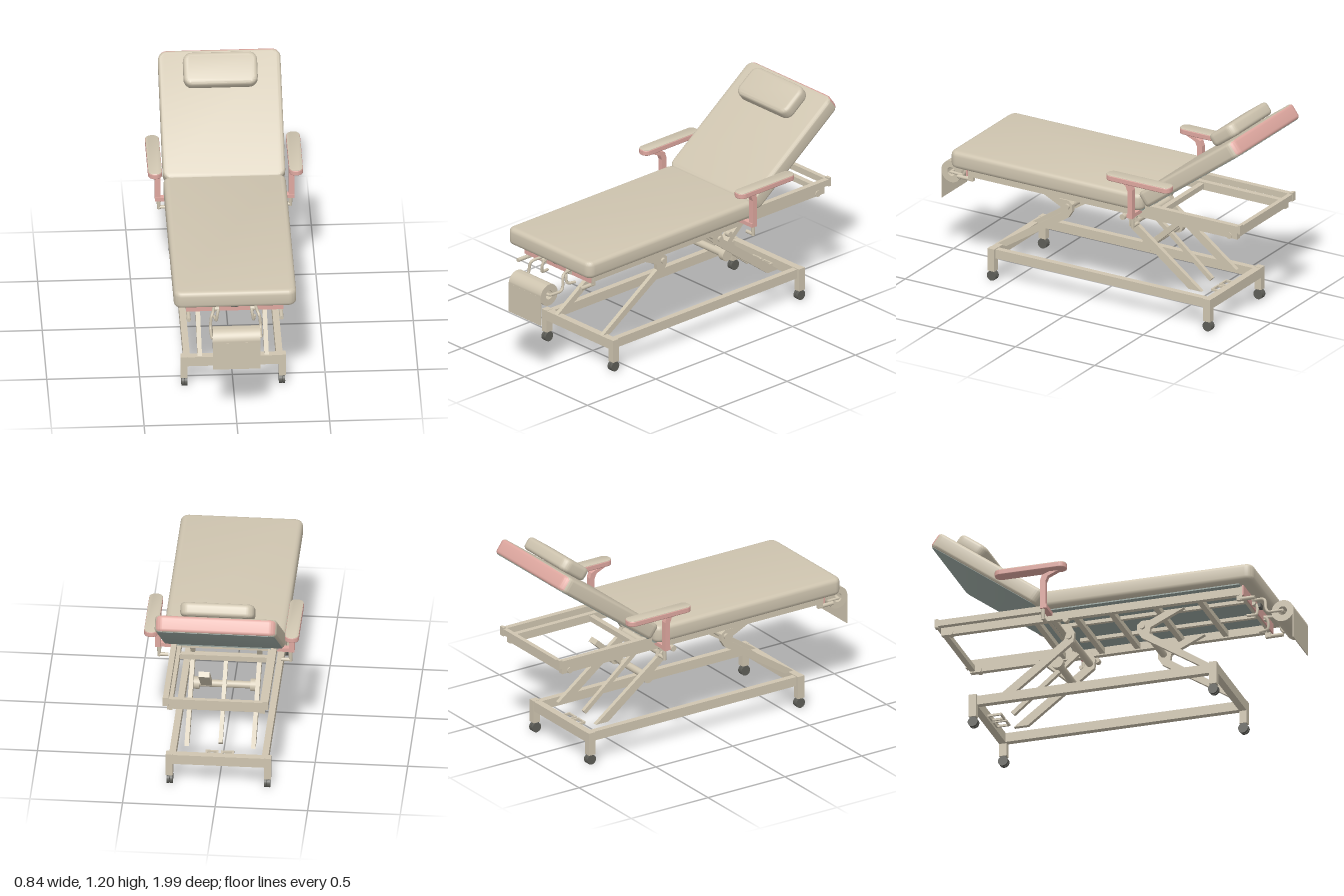
import * as THREE from 'three';
import { toCreasedNormals } from 'three/addons/utils/BufferGeometryUtils.js';

const material = (name, color, side = THREE.FrontSide) => {
  const m = new THREE.MeshStandardMaterial({ color, side });
  m.name = name;
  return m;
};

export function createModel() {
  const beige = material('beige', 0xcfc5b0, THREE.DoubleSide);
  const pink = material('pink', 0xdfa8a0);
  const underside = material('slate underside', 0x98a59f);
  const dark = material('dark rubber', 0x5e5e58);

  const model = new THREE.Group();
  model.name = 'treatmentCouch';

  const add = (name, geo, mat, pos = [0, 0, 0], parent = model) => {
    const m = new THREE.Mesh(geo, mat);
    m.name = name;
    m.position.set(...pos);
    parent.add(m);
    return m;
  };
  const box = (name, mat, size, pos) => add(name, new THREE.BoxGeometry(...size), mat, pos);
  const tube = (name, mat, pts, r) => add(name, new THREE.TubeGeometry(
    new THREE.CatmullRomCurve3(pts.map(p => new THREE.Vector3(...p)), false, 'catmullrom', 0.2), 20, r, 8), mat);
  // cylinder lying along x
  const rod = (name, mat, r, len, pos) => add(name, new THREE.CylinderGeometry(r, r, len, 20).rotateZ(Math.PI / 2), mat, pos);
  // box between two points of the side plane
  const beam = (name, mat, x, [z0, y0], [z1, y1], w, t) => {
    const m = box(name, mat, [w, t, Math.hypot(z1 - z0, y1 - y0)], [x, (y0 + y1) / 2, (z0 + z1) / 2]);
    m.rotation.x = -Math.atan2(y1 - y0, z1 - z0);
    return m;
  };
  // flat cushion with rounded plan corners and soft edges
  const pad = (w, l, h, r, b) => {
    const x = w / 2 - b, y = l / 2 - b, s = new THREE.Shape();
    [[x - r, y - r, 0], [r - x, y - r, 1], [r - x, r - y, 2], [x - r, r - y, 3]].forEach(([cx, cy, q]) =>
      s.absarc(cx, cy, r, q * Math.PI / 2, (q + 1) * Math.PI / 2, false));
    const g = new THREE.ExtrudeGeometry(s, {
      depth: h - 2 * b, bevelSize: b, bevelThickness: b, bevelSegments: 4, curveSegments: 8
    });
    return toCreasedNormals(g.center().rotateX(-Math.PI / 2), 0.6);
  };
  // regroup a pad so that faces turned to its -z end use the second material
  const splitEnd = geo => {
    const n = geo.attributes.normal, sides = [[], []];
    for (let i = 0; i < n.count; i += 3) {
      const nz = (n.getZ(i) + n.getZ(i + 1) + n.getZ(i + 2)) / 3;
      sides[nz < -0.57 ? 1 : 0].push(i, i + 1, i + 2);
    }
    geo.setIndex(sides.flat());
    geo.clearGroups();
    geo.addGroup(0, sides[0].length, 0);
    geo.addGroup(sides[0].length, sides[1].length, 1);
    return geo;
  };
  // side-plane outline (z, y) given thickness along x
  const plate = (name, mat, pts, x, w) => {
    const s = new THREE.Shape(pts.map(p => new THREE.Vector2(...p)));
    const g = new THREE.ExtrudeGeometry(s, { depth: w, bevelEnabled: false });
    return add(name, g.translate(0, 0, -w / 2).rotateY(-Math.PI / 2), mat, [x, 0, 0]);
  };

  // Seat cushion with its underside board
  add('seatCushion', pad(0.66, 1.21, 0.098, 0.02, 0.025), beige, [0, 0.675, 0.225]);
  box('seatBoard', underside, [0.58, 0.01, 1.11], [0, 0.624, 0.19]);

  // Tilted backrest with head pillow
  const back = new THREE.Group();
  back.name = 'backrest';
  back.position.set(0, 0.907, -0.675);
  back.rotation.x = 0.635;
  model.add(back);
  add('backCushion', splitEnd(pad(0.66, 0.747, 0.09, 0.03, 0.018)), [beige, pink], [0, 0, 0], back);
  add('backBoard', pad(0.635, 0.72, 0.008, 0.03, 0.002), underside, [0, -0.043, 0], back);
  const pillow = add('headPillow', pad(0.4, 0.19, 0.075, 0.025, 0.022), beige, [0, 1.118, -0.81]);
  pillow.rotation.x = 0.635;

  // Upper frame: long rails, cross members and rear extension
  for (const s of [-1, 1]) {
    box('frameRail', beige, [0.03, 0.045, 1.69], [s * 0.25, 0.592, -0.105]);
    box('rearUpperRail', beige, [0.03, 0.035, 0.6], [s * 0.27, 0.637, -0.68]);
    box('rearStop', beige, [0.03, 0.05, 0.018], [s * 0.27, 0.637, -0.972]);
    rod('rearKnob', beige, 0.018, 0.04, [s * 0.25, 0.583, -0.9]);
    box('seatSlat', beige, [0.02, 0.02, 1.0], [s * 0.1, 0.605, 0.22]);
  }
  for (const z of [0.5, 0.25, 0, -0.2, -0.42, -0.935])
    box('frameCrossBar', beige, [0.5, 0.03, 0.03], [0, 0.592, z]);
  box('rearUpperCrossBar', beige, [0.56, 0.035, 0.025], [0, 0.637, -0.967]);
  box('frontCrossBar', beige, [0.52, 0.05, 0.02], [0, 0.596, 0.742]);
  box('frontCrossBarFace', pink, [0.525, 0.058, 0.008], [0, 0.597, 0.756]);
  box('frontCatch', dark, [0.04, 0.025, 0.02], [0, 0.614, 0.768]);
  box('armCrossBar', beige, [0.5, 0.022, 0.03], [0, 0.609, -0.335]);

  // Armrests on curved posts, with clamp levers
  for (const s of [-1, 1]) {
    add('armrestBody', pad(0.076, 0.405, 0.032, 0.03, 0.006), pink, [s * 0.38, 0.826, -0.405]);
    add('armrestTop', pad(0.072, 0.4, 0.006, 0.03, 0.002), beige, [s * 0.38, 0.8405, -0.405]);
    plate('armrestPost', pink, [[-0.355, 0.598], [-0.325, 0.598], [-0.325, 0.755], [-0.312, 0.785],
      [-0.25, 0.812], [-0.3, 0.812], [-0.345, 0.795], [-0.355, 0.765]], s * 0.361, 0.03);
    box('armrestBracket', pink, [0.115, 0.022, 0.032], [s * 0.318, 0.609, -0.335]);
    add('clampStem', new THREE.CylinderGeometry(0.012, 0.009, 0.06, 12), beige, [s * 0.355, 0.568, -0.345]);
    rod('clampLever', beige, 0.01, 0.05, [s * 0.33, 0.548, -0.345]);
    rod('sideBolt', beige, 0.016, 0.03, [s * 0.275, 0.555, -0.24]);
  }

  // Folding lift links
  const frontLink = [[0.61, 0.18], [0.55, 0.18], [0.16, 0.43], [0.135, 0.47], [0.135, 0.51], [0.16, 0.53],
    [0.21, 0.53], [0.31, 0.575], [0.4, 0.575], [0.21, 0.485], [0.205, 0.45]];
  const rearLink = [[-0.6, 0.18], [-0.68, 0.18], [-0.28, 0.48], [-0.265, 0.52], [-0.3, 0.575],
    [-0.25, 0.575], [-0.22, 0.52], [-0.225, 0.465]];
  for (const s of [-1, 1]) {
    plate('frontLiftLink', beige, frontLink, s * 0.18, 0.024);
    plate('rearLiftLink', beige, rearLink, s * 0.18, 0.024);
    rod('linkPivot', beige, 0.016, 0.05, [s * 0.18, 0.495, 0.165]);
    rod('linkPivot', beige, 0.016, 0.05, [s * 0.18, 0.495, -0.25]);
    rod('leverHub', beige, 0.034, 0.035, [s * 0.155, 0.365, -0.325]);
  }
  rod('frontLiftTube', beige, 0.02, 0.36, [0, 0.49, 0.168]);
  rod('rearLiftTube', beige, 0.02, 0.36, [0, 0.495, -0.25]);
  rod('leverTube', beige, 0.02, 0.34, [0, 0.365, -0.325]);
  beam('liftLever', beige, 0.1, [-0.32, 0.36], [-0.5, 0.525], 0.06, 0.03);
  beam('liftActuator', beige, 0, [-0.63, 0.175], [-0.26, 0.48], 0.022, 0.025);

  // Wheeled base
  for (const s of [-1, 1]) {
    box('baseRail', beige, [0.035, 0.052, 1.37], [s * 0.25, 0.156, -0.09]);
    for (const z of [0.592, -0.768]) {
      box('baseLeg', beige, [0.038, 0.13, 0.042], [s * 0.265, 0.122, z]);
      box('casterFork', dark, [0.026, 0.03, 0.03], [s * 0.263, 0.045, z]);
      for (const d of [-0.009, 0.009])
        rod('casterWheel', dark, 0.028, 0.015, [s * 0.263 + d, 0.028, z]);
    }
  }
  for (const z of [0.592, -0.768])
    box('baseCrossBar', beige, [0.56, 0.056, 0.04], [0, 0.157, z]);

  // Foot pedal loops beside the rear cross bar
  for (const s of [-1, 1]) {
    for (const e of [-1, 1])
      box('pedalSide', beige, [0.01, 0.012, 0.08], [s * 0.042 + e * 0.03, 0.15, -0.71]);
    for (const z of [-0.745, -0.675])
      box('pedalEnd', beige, [0.07, 0.012, 0.01], [s * 0.042, 0.15, z]);
  }

  // Paper roll with hanging sheet and bent holder arms
  const ring = new THREE.Shape().absarc(0, 0, 0.062, 0, Math.PI * 2, false);
  ring.holes.push(new THREE.Path().absarc(0, 0, 0.025, 0, Math.PI * 2, true));
  const roll = new THREE.ExtrudeGeometry(ring, { depth: 0.255, bevelEnabled: false, curveSegments: 24 });
  add('paperRoll', toCreasedNormals(roll.center().rotateY(-Math.PI / 2), 0.6), beige, [0, 0.508, 0.937]);
  box('paperSheet', beige, [0.255, 0.165, 0.005], [0, 0.427, 0.997]);
  rod('rollSpindle', beige, 0.008, 0.27, [0, 0.508, 0.937]);
  for (const s of [-1, 1]) {
    tube('rollArm', beige, [[s * 0.132, 0.508, 0.94], [s * 0.135, 0.508, 0.86], [s * 0.135, 0.53, 0.845],
      [s * 0.13, 0.58, 0.84], [s * 0.12, 0.597, 0.82], [s * 0.11, 0.6, 0.75]], 0.008);
    // Crank handles under the front edge
    tube('crankArm', beige, [[s * 0.09, 0.59, 0.74], [s * 0.09, 0.585, 0.775], [s * 0.095, 0.555, 0.785],
      [s * 0.1, 0.52, 0.78], [s * 0.11, 0.515, 0.73]], 0.008);
    rod('crankKnob', beige, 0.014, 0.03, [s * 0.1, 0.585, 0.765]);
    add('frontLever', new THREE.CylinderGeometry(0.011, 0.011, 0.09, 12).rotateX(Math.PI / 2), beige, [s * 0.25, 0.55, 0.775]);
    box('frontLeverMount', beige, [0.02, 0.04, 0.03], [s * 0.25, 0.562, 0.735]);
  }

  return model;
}
